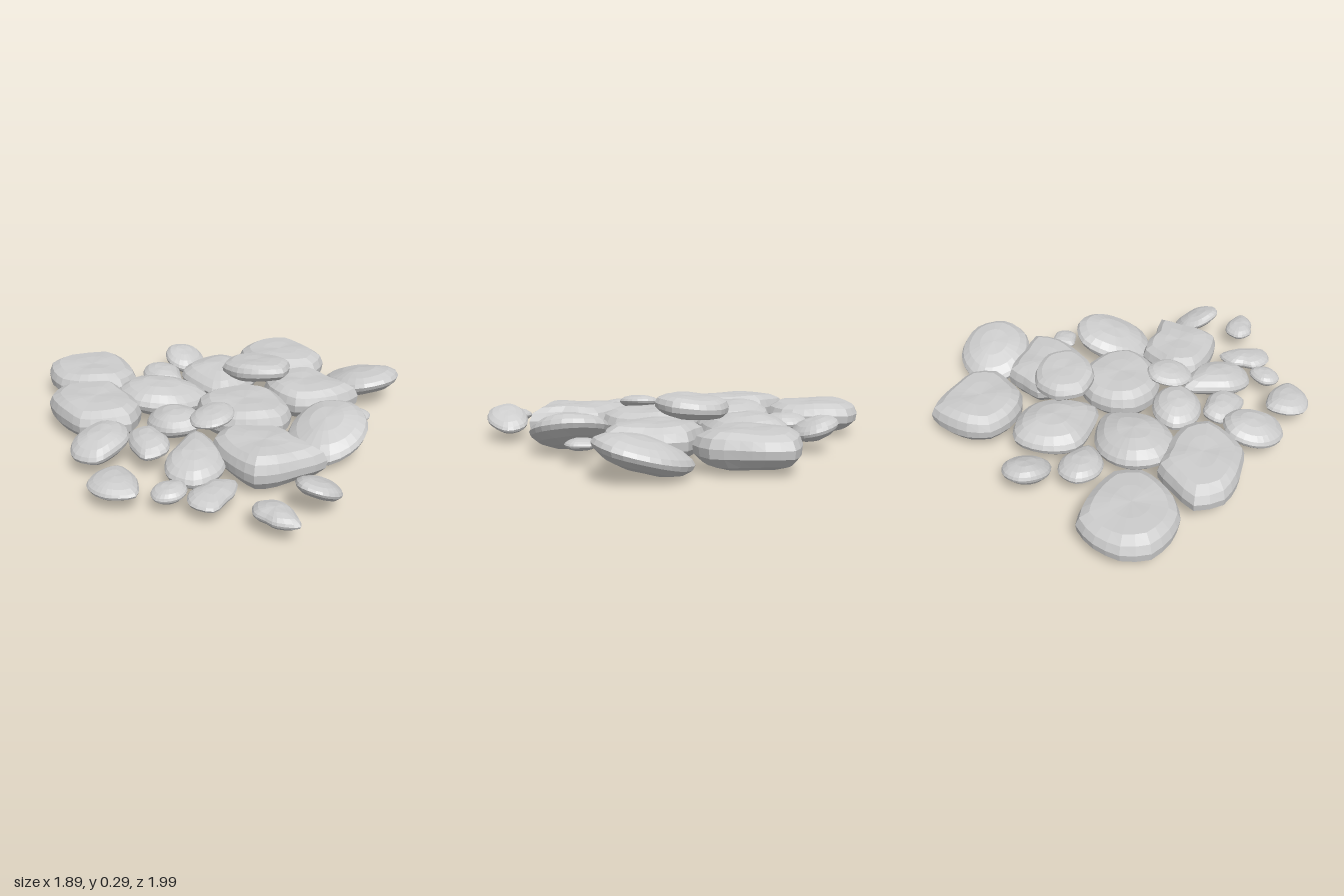
import * as THREE from 'three';

const SEGMENTS = 24;
// Half cross-sections, bottom to top: [share of the outline radius, share of the half thickness].
// Tension sets how rounded the plan outline is.
const SLAB = {
  tension: 0.35,
  rings: [[0, -1], [0.55, -0.95], [0.83, -0.7], [0.98, -0.25], [1, 0.2], [0.93, 0.65], [0.75, 0.93], [0.4, 1], [0, 0.97]],
};
const LENS = {
  tension: 0.5,
  rings: [[0, -1], [0.45, -0.88], [0.78, -0.6], [0.96, -0.22], [1, 0.05], [0.94, 0.33], [0.75, 0.67], [0.42, 0.92], [0, 1]],
};

// Stone whose plan outline is a closed curve through evenly spread radii
// (starting at +x, turning towards +z); tilt is its slope along x and z.
function stoneGeometry({ rings, tension }, half, [slopeX, slopeZ], radii, seed) {
  const corners = radii.map((r, i) => {
    const a = i * 2 * Math.PI / radii.length;
    return new THREE.Vector3(r * Math.cos(a), 0, r * Math.sin(a));
  });
  const outline = new THREE.CatmullRomCurve3(corners, true, 'catmullrom', tension).getPoints(SEGMENTS);
  const positions = [], index = [];
  rings.forEach(([r, h], k) => {
    for (let j = 0; j < SEGMENTS; j++) {
      const x = outline[j].x * r, z = outline[j].z * r;
      // slight worn unevenness, fading towards the middle
      const wear = 1 + 0.08 * r * Math.sin(j * Math.PI / 4 + seed * 1.7);
      positions.push(x, h * half * wear + x * slopeX + z * slopeZ, z);
      if (k === 0) continue;
      const n = (j + 1) % SEGMENTS, low = (k - 1) * SEGMENTS, high = k * SEGMENTS;
      if (k < rings.length - 1) index.push(low + j, high + j, high + n);
      if (k > 1) index.push(low + j, high + n, low + n);
    }
  });
  const geometry = new THREE.BufferGeometry();
  geometry.setAttribute('position', new THREE.Float32BufferAttribute(positions, 3));
  geometry.setIndex(index);
  geometry.computeVertexNormals();
  return geometry;
}

export function createModel() {
  const group = new THREE.Group();
  const material = new THREE.MeshStandardMaterial({ color: 0xcccccc, flatShading: true });
  let count = 0;
  const add = (name, profile, [x, y, z], half, tilt, radii) => {
    count++;
    const mesh = new THREE.Mesh(stoneGeometry(profile, half, tilt, radii, count), material);
    mesh.name = name + count;
    mesh.position.set(x, y, z);
    group.add(mesh);
  };
  const slab = (...args) => add('slab', SLAB, ...args);
  const cobble = (...args) => add('cobble', LENS, ...args);
  const pebble = (...args) => add('pebble', LENS, ...args);

  // Thick angular slabs
  slab([-0.21, 0.094, -0.74], 0.082, [0, 0], [0.21, 0.21, 0.25, 0.25, 0.21, 0.205, 0.215, 0.225, 0.255, 0.255, 0.245, 0.25]);
  slab([-0.47, 0.103, -0.37], 0.086, [0.03, 0], [0.175, 0.19, 0.235, 0.27, 0.225, 0.215, 0.185, 0.2, 0.255, 0.29, 0.225, 0.22]);
  slab([0.667, 0.098, -0.16], 0.085, [0, 0], [0.21, 0.2, 0.25, 0.26, 0.21, 0.21, 0.205, 0.21, 0.23, 0.22, 0.22, 0.25]);
  slab([-0.23, 0.1, 0.53], 0.088, [0, 0], [0.175, 0.165, 0.28, 0.205, 0.2, 0.22, 0.19, 0.195, 0.245, 0.25, 0.2, 0.205]);
  slab([0.025, 0.103, 0.17], 0.087, [0, 0], [0.21, 0.205, 0.235, 0.25, 0.215, 0.205, 0.21, 0.225, 0.24, 0.23, 0.22, 0.21]);
  slab([0.42, 0.097, 0.21], 0.086, [0, 0], [0.19, 0.195, 0.29, 0.24, 0.205, 0.205, 0.19, 0.19, 0.2, 0.22, 0.19, 0.215]);

  // Slab lying on top of the pile
  slab([0.28, 0.224, 0.02], 0.052, [-0.05, 0.08], [0.15, 0.17, 0.18, 0.145, 0.155, 0.18, 0.175, 0.16]);

  // Rounded cobbles, some leaning
  cobble([-0.13, 0.107, -0.27], 0.085, [-0.07, -0.05], [0.19, 0.25, 0.2, 0.18, 0.2, 0.22, 0.2, 0.185]);
  cobble([0.27, 0.103, -0.24], 0.085, [0, -0.04], [0.19, 0.2, 0.2, 0.25, 0.19, 0.21, 0.2, 0.215]);
  cobble([0.76, 0.1, 0.32], 0.075, [0, 0.26], [0.185, 0.21, 0.215, 0.2, 0.185, 0.2, 0.215, 0.185]);
  cobble([0.14, 0.1, 0.58], 0.08, [0.33, 0], [0.21, 0.2, 0.195, 0.205, 0.205, 0.18, 0.18, 0.21]);
  cobble([-0.48, 0.088, 0.34], 0.065, [0.08, -0.08], [0.15, 0.14, 0.15, 0.17, 0.155, 0.13, 0.13, 0.24]);
  cobble([-0.68, 0.113, -0.07], 0.06, [0.18, 0], [0.145, 0.13, 0.12, 0.155, 0.15, 0.135, 0.135, 0.15]);
  cobble([-0.3, 0.115, 0.01], 0.065, [0.08, 0.08], [0.125, 0.135, 0.155, 0.13, 0.12, 0.13, 0.15, 0.135]);

  // Small pebbles around the edge and in the gaps
  pebble([0.07, 0.1, -0.48], 0.05, [0, -0.05], [0.105, 0.095, 0.14, 0.105, 0.1, 0.11, 0.13, 0.125]);
  pebble([0.31, 0.105, -0.57], 0.055, [0, -0.27], [0.115, 0.115, 0.11, 0.12, 0.11, 0.105, 0.115, 0.115]);
  pebble([-0.52, 0.105, 0.07], 0.048, [0.12, 0], [0.085, 0.1, 0.135, 0.14, 0.085, 0.085, 0.125, 0.12]);
  pebble([-0.84, 0.085, 0.23], 0.04, [0.05, 0], [0.1, 0.1, 0.14, 0.11, 0.105, 0.12, 0.125, 0.14]);
  pebble([-0.71, 0.077, 0.43], 0.035, [0.1, 0], [0.08, 0.075, 0.07, 0.07, 0.08, 0.08, 0.075, 0.07]);
  pebble([-0.23, 0.185, 0.2], 0.035, [0.14, 0.04], [0.115, 0.105, 0.105, 0.11, 0.115, 0.105, 0.1, 0.115]);
  pebble([-0.59, 0.077, 0.57], 0.037, [0, 0], [0.135, 0.09, 0.08, 0.14, 0.135, 0.105, 0.07, 0.1]);
  pebble([0.42, 0.088, 0.55], 0.028, [0, 0], [0.065, 0.075, 0.075, 0.07, 0.06, 0.085, 0.065, 0.08]);
  pebble([-0.54, 0.087, 0.865], 0.038, [0, 0], [0.075, 0.08, 0.13, 0.085, 0.065, 0.09, 0.11, 0.095]);
  pebble([-0.285, 0.107, 0.88], 0.045, [-0.4, 0], [0.12, 0.1, 0.105, 0.12, 0.12, 0.1, 0.1, 0.12]);
  return group;
}
